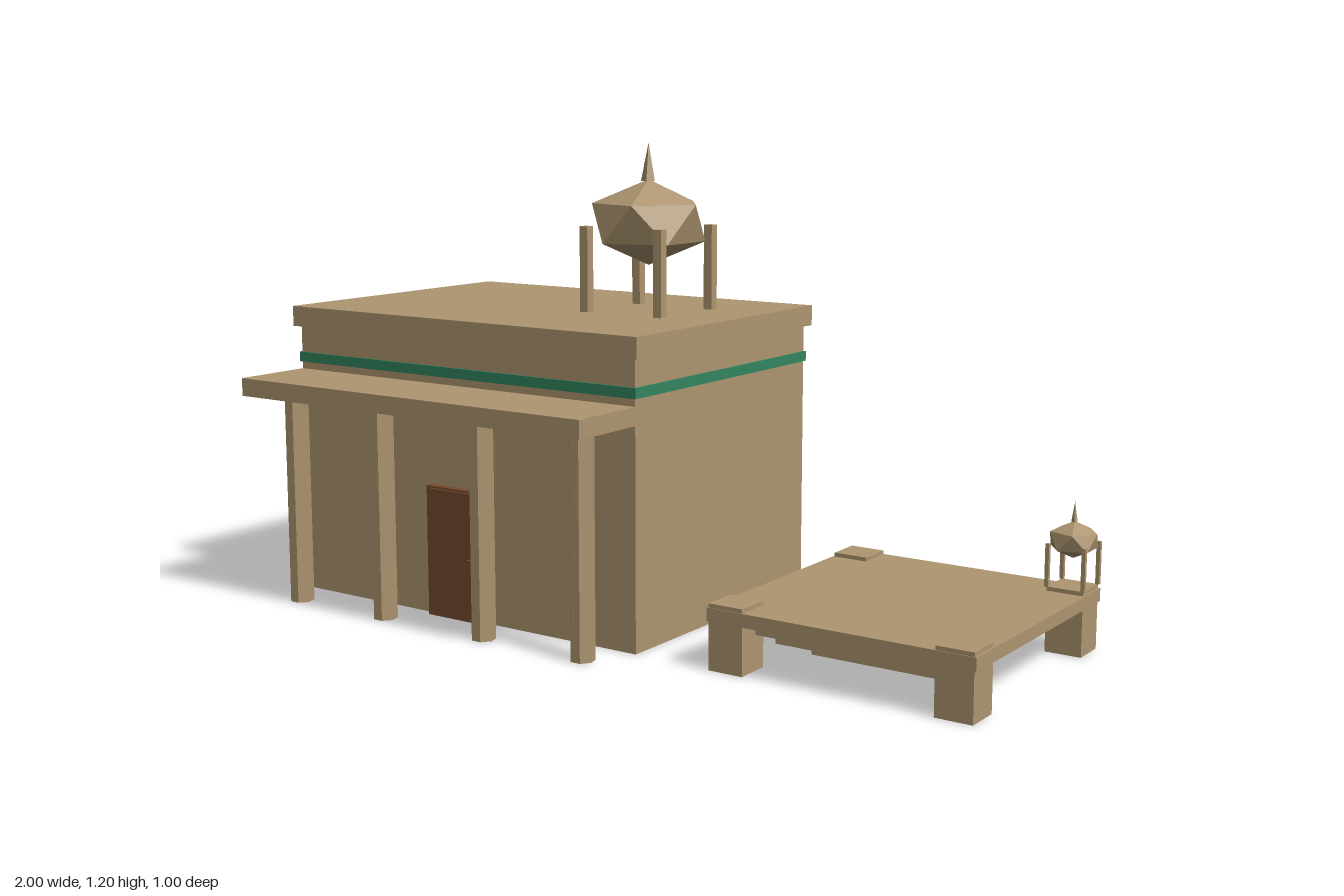
import * as THREE from 'three';
import { ConvexGeometry } from 'three/addons/geometries/ConvexGeometry.js';

const material = (name, color) => {
  const m = new THREE.MeshStandardMaterial({ color, flatShading: true });
  m.name = name;
  return m;
};

export function createModel() {
  const model = new THREE.Group();
  model.name = 'templeAndPlatform';
  const sand = material('sandstone', 0xae9670);
  const green = material('greenBand', 0x338660);
  const brown = material('doorBrown', 0x764a2e);

  const add = (parent, name, geometry, mat) => {
    const mesh = new THREE.Mesh(geometry, mat);
    mesh.name = name;
    parent.add(mesh);
    return mesh;
  };
  // Box given by its limits on each axis
  const box = (parent, name, [x0, x1], [y0, y1], [z0, z1], mat = sand) =>
    add(parent, name, new THREE.BoxGeometry(x1 - x0, y1 - y0, z1 - z0), mat)
      .position.set((x0 + x1) / 2, (y0 + y1) / 2, (z0 + z1) / 2);
  const group = (name) => {
    const g = new THREE.Group();
    g.name = name;
    model.add(g);
    return g;
  };

  // Main building
  const building = group('building');
  box(building, 'walls', [-0.985, 0.105], [0, 0.712], [-0.48, 0.285]);
  box(building, 'roofSlab', [-1, 0.12], [0.712, 0.765], [-0.497, 0.3]);
  box(building, 'greenBand', [-0.99, 0.11], [0.617, 0.643], [-0.485, 0.29], green);

  // Porch with seven-sided columns
  box(building, 'porchRoof', [-0.985, 0.105], [0.552, 0.598], [0.285, 0.5]);
  for (const x of [-0.902, -0.604, -0.278, 0.027]) {
    const column = add(building, 'column', new THREE.CylinderGeometry(0.031, 0.031, 0.548, 7), sand);
    column.position.set(x, 0.274, 0.392);
    column.rotation.y = Math.PI;
  }

  // Door
  const door = group('door');
  box(door, 'doorFrame', [-0.535, -0.348], [0, 0.338], [0.28, 0.304], brown);
  box(door, 'doorPanel', [-0.525, -0.355], [0.012, 0.333], [0.3, 0.311], brown);
  box(door, 'doorKnob', [-0.393, -0.372], [0.143, 0.165], [0.31, 0.32], brown);

  // Raised platform, stepped underneath
  const platform = group('platform');
  box(platform, 'platformSlab', [0.31, 0.99], [0.118, 0.15], [-0.39, 0.29]);
  const tiers = [[0.28, 0.086, 0.118], [0.224, 0.055, 0.086], [0.163, 0.024, 0.055]];
  for (const [h, y0, y1] of tiers)
    box(platform, 'lowerTier', [0.65 - h, 0.65 + h], [y0, y1], [-0.05 - h, -0.05 + h]);
  for (const x of [0.314, 0.893])
    for (const z of [-0.387, 0.196])
      box(platform, 'cornerBlock', [x, x + 0.092], [0, 0.16], [z, z + 0.092]);

  // Faceted dome: two five-point rings and two poles, on four posts, with a spike
  const faceted = (radius, half) => {
    const points = [new THREE.Vector3(0, half, 0), new THREE.Vector3(0, -half, 0)];
    for (let i = 0; i < 10; i++) {
      const a = (i * Math.PI) / 5;
      const y = half * (i % 2 ? -0.447 : 0.447);
      points.push(new THREE.Vector3(Math.cos(a) * radius, y, Math.sin(a) * radius));
    }
    return new ConvexGeometry(points);
  };
  const dome = (name, { x, z, base, postTop, centre, radius, half, spike }) => {
    const g = group(name);
    add(g, 'facetedDome', faceted(radius, half), sand).position.set(x, centre, z);
    const top = centre + half - radius * 0.03;
    const cone = add(g, 'spike', new THREE.ConeGeometry(radius * 0.135, spike - top, 5), sand);
    cone.position.set(x, (top + spike) / 2, z);
    cone.rotation.y = Math.PI / 2;
    const off = radius * 0.785, w = radius * 0.084;
    for (const sx of [-1, 1])
      for (const sz of [-1, 1]) {
        const px = x + sx * off, pz = z + sz * off;
        box(g, 'post', [px - w, px + w], [base, postTop], [pz - w, pz + w]);
      }
  };
  dome('roofDome', {
    x: -0.168, z: -0.155, base: 0.765, postTop: 0.985,
    centre: 0.993, radius: 0.146, half: 0.11, spike: 1.197,
  });
  dome('platformDome', {
    x: 0.939, z: -0.341, base: 0.16, postTop: 0.265,
    centre: 0.272, radius: 0.058, half: 0.045, spike: 0.365,
  });

  return model;
}
